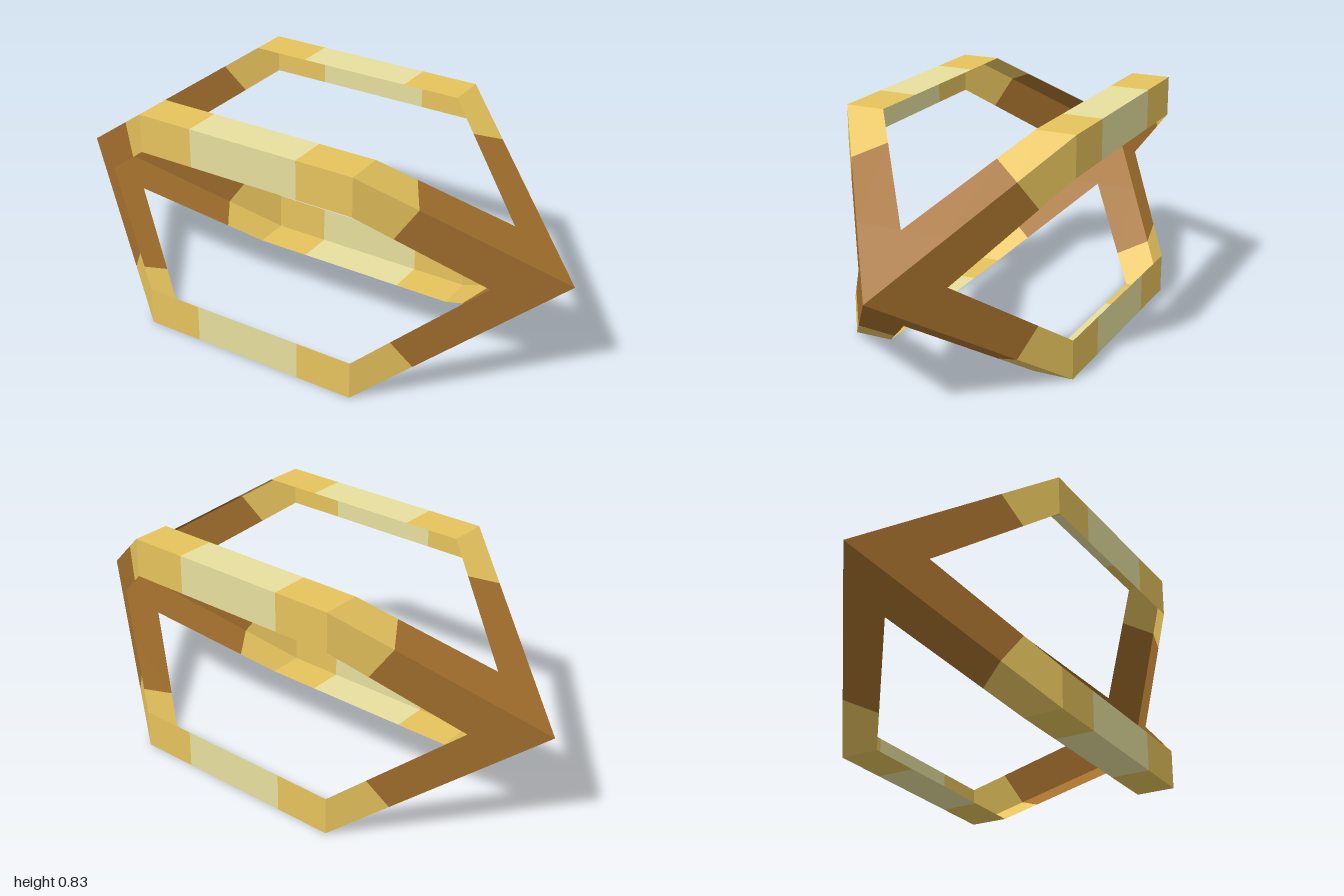
import * as THREE from 'three';

const H = 0.414;      // outer half height, and the x where the rails bend
const INNER = 0.275;  // half height of the openings
const NOTCH = 0.777;  // x where the edges of an opening meet
const MID = 0.415;    // height of the long axis

// Half extents of the shell and of its openings at distance x from the centre
const outer = x => x <= H ? H : H * (1 - x) / (1 - H);
const inner = x => x <= H ? INNER : INNER * (NOTCH - x) / (NOTCH - H);

// V-shaped section: free edge, ridge, free edge; the cut may slant along x
const section = ({ ridge, edge }) => [
  [edge, outer(edge), inner(edge)],
  [ridge, outer(ridge), outer(ridge)],
  [edge, inner(edge), outer(edge)],
];

// Thin folded wall between two sections, mirrored into the octant of the signs
function foldedWall(from, to, [sx, sy, sz]) {
  const r0 = section(from), r1 = section(to), pos = [];
  const flip = sx * sy * sz < 0;
  const tri = (p, q, r) => {
    for (const v of flip ? [p, r, q] : [p, q, r]) pos.push(v[0] * sx, v[1] * sy, v[2] * sz);
  };
  for (let i = 0; i < 2; i++) {
    tri(r0[i], r0[i + 1], r1[i + 1]);
    tri(r0[i], r1[i + 1], r1[i]);
  }
  const geo = new THREE.BufferGeometry();
  geo.setAttribute('position', new THREE.Float32BufferAttribute(pos, 3));
  geo.computeVertexNormals();
  return geo;
}

export function createModel() {
  const model = new THREE.Group();
  model.name = 'openFrame';
  const material = (name, color) => {
    const m = new THREE.MeshStandardMaterial({ color, flatShading: true, side: THREE.DoubleSide });
    m.name = name;
    return m;
  };
  const pale = material('paleStraw', 0xe7e09e);
  const gold = material('gold', 0xe6c35d);
  const brown = material('brown', 0xa4702d);

  const add = (name, geo, mat) => {
    const mesh = new THREE.Mesh(geo, mat);
    mesh.name = name;
    mesh.position.y = MID;
    model.add(mesh);
  };

  // Stations along half a bar, from the centre to the notch
  const flat = x => ({ ridge: x, edge: x });
  const cut = { ridge: 0.583, edge: 0.52 };
  const segments = [
    ['railCentre', flat(0), flat(0.206), pale],
    ['railEnd', flat(0.206), flat(H), gold],
    ['armCollar', flat(H), cut, gold],
    ['arm', cut, flat(NOTCH), brown],
  ];

  for (const sx of [1, -1]) {
    for (const sy of [1, -1])
      for (const sz of [1, -1])
        for (const [name, from, to, mat] of segments)
          add(name, foldedWall(from, to, [sx, sy, sz]), mat);

    // Hollow pointed tip where the four arms meet
    const length = 1 - NOTCH;
    const tip = new THREE.ConeGeometry(outer(NOTCH) * Math.SQRT2, length, 4, 1, true);
    tip.rotateY(Math.PI / 4);
    tip.rotateZ(-sx * Math.PI / 2);
    tip.translate(sx * (NOTCH + length / 2), 0, 0);
    add('tip', tip, brown);
  }
  return model;
}
